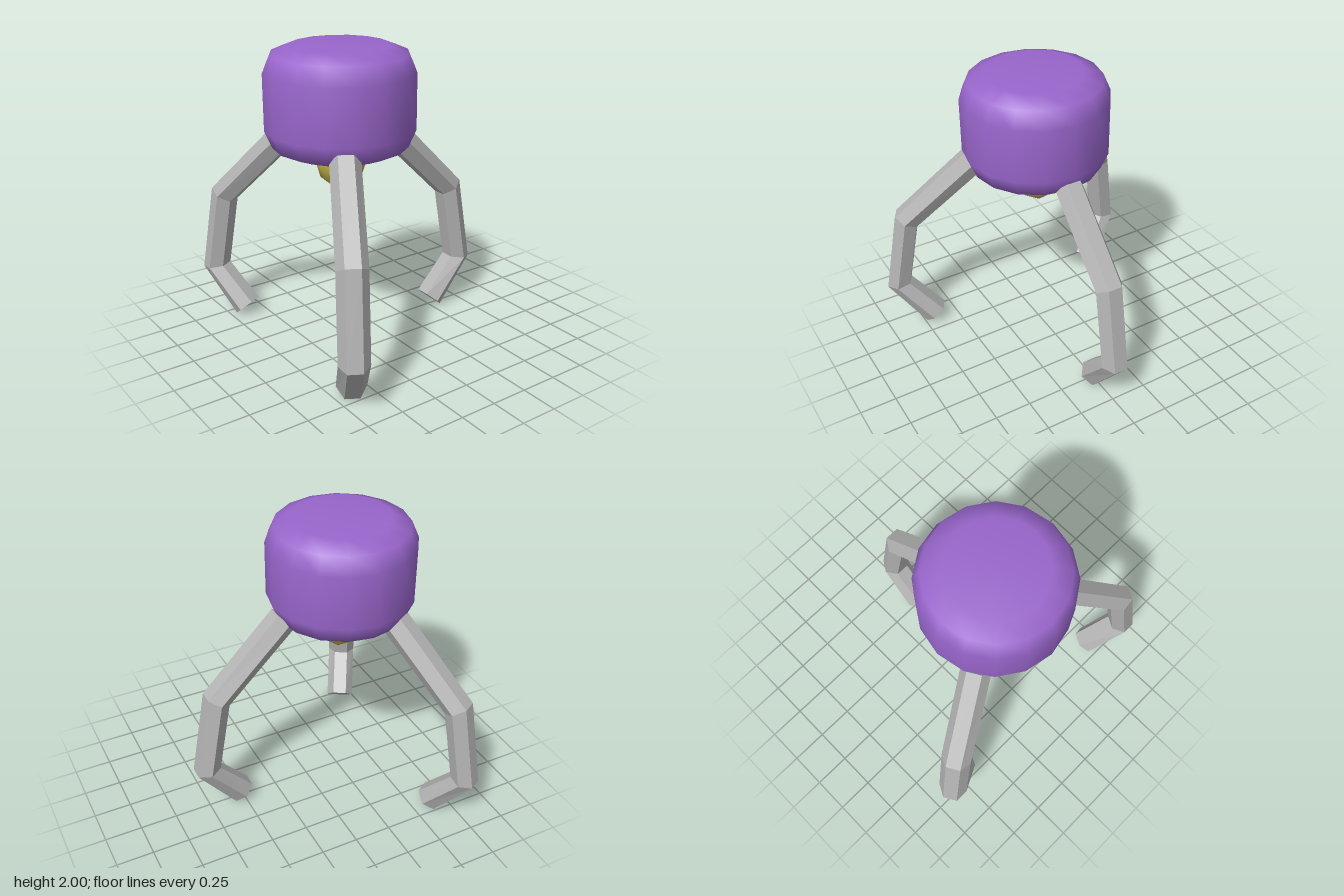
import * as THREE from 'three';

const AXIS_X = -0.25; // the body axis sits off centre so the legs balance the bounds

const purple = new THREE.MeshStandardMaterial({ name: 'purple', color: 0x9966cc });
const brass = new THREE.MeshStandardMaterial({ name: 'brass', color: 0xb5a642 });
const grey = new THREE.MeshStandardMaterial({ name: 'grey', color: 0xb4b4b4 });
grey.flatShading = true;

// Hexagonal bent bar: each joint gives its outer and inner edge as [radius, y]
function legGeometry() {
  const joints = [
    [[0.47, 1.435], [0.35, 1.318]],
    [[0.972, 0.932], [0.83, 0.85]],
    [[1.08, 0.323], [0.92, 0.348]],
    [[0.823, 0], [0.698, 0.11]],
  ];
  const blend = [1, 0.5, 0, 0, 0.5, 1]; // 1 = outer edge, 0 = inner edge
  const width = [0.0485, 0.097, 0.0485, -0.0485, -0.097, -0.0485];
  const rings = joints.map(([o, n]) => blend.map((t, k) => [
    n[0] + (o[0] - n[0]) * t, n[1] + (o[1] - n[1]) * t, width[k],
  ]));
  const pos = [];
  const tri = (a, b, c) => pos.push(...a, ...b, ...c);
  for (let i = 0; i < rings.length - 1; i++) {
    for (let k = 0; k < 6; k++) {
      const j = (k + 1) % 6;
      tri(rings[i][k], rings[i][j], rings[i + 1][j]);
      tri(rings[i][k], rings[i + 1][j], rings[i + 1][k]);
    }
  }
  // End caps
  const first = rings[0], last = rings[rings.length - 1];
  for (let k = 1; k < 5; k++) {
    tri(first[0], first[k + 1], first[k]);
    tri(last[0], last[k], last[k + 1]);
  }
  const g = new THREE.BufferGeometry();
  g.setAttribute('position', new THREE.Float32BufferAttribute(pos, 3));
  g.computeVertexNormals();
  return g;
}

export function createModel() {
  const model = new THREE.Group();
  model.name = 'threeLeggedClaw';

  // Rounded drum body
  const profile = [
    [0, 1.31], [0.315, 1.31], [0.436, 1.36], [0.485, 1.475],
    [0.485, 1.838], [0.436, 1.952], [0.315, 2], [0, 2],
  ].map(([r, y]) => new THREE.Vector2(r, y));
  const body = new THREE.Mesh(new THREE.LatheGeometry(profile, 16), purple);
  body.name = 'body';
  body.position.x = AXIS_X;
  model.add(body);

  // Ball under the body, with a vertex pointing straight down
  const ballGeo = new THREE.IcosahedronGeometry(0.161, 1);
  ballGeo.rotateZ(-Math.atan(2 / (1 + Math.sqrt(5))));
  ballGeo.rotateY(Math.PI / 2);
  const ball = new THREE.Mesh(ballGeo, brass);
  ball.name = 'ball';
  ball.position.set(AXIS_X, 1.236, 0);
  model.add(ball);

  // Three bent legs around the axis
  const legGeo = legGeometry();
  ['leftLeg', 'backRightLeg', 'frontRightLeg'].forEach((name, i) => {
    const leg = new THREE.Mesh(legGeo, grey);
    leg.name = name;
    leg.position.x = AXIS_X;
    leg.rotation.y = (i * Math.PI * 2) / 3;
    model.add(leg);
  });

  return model;
}
